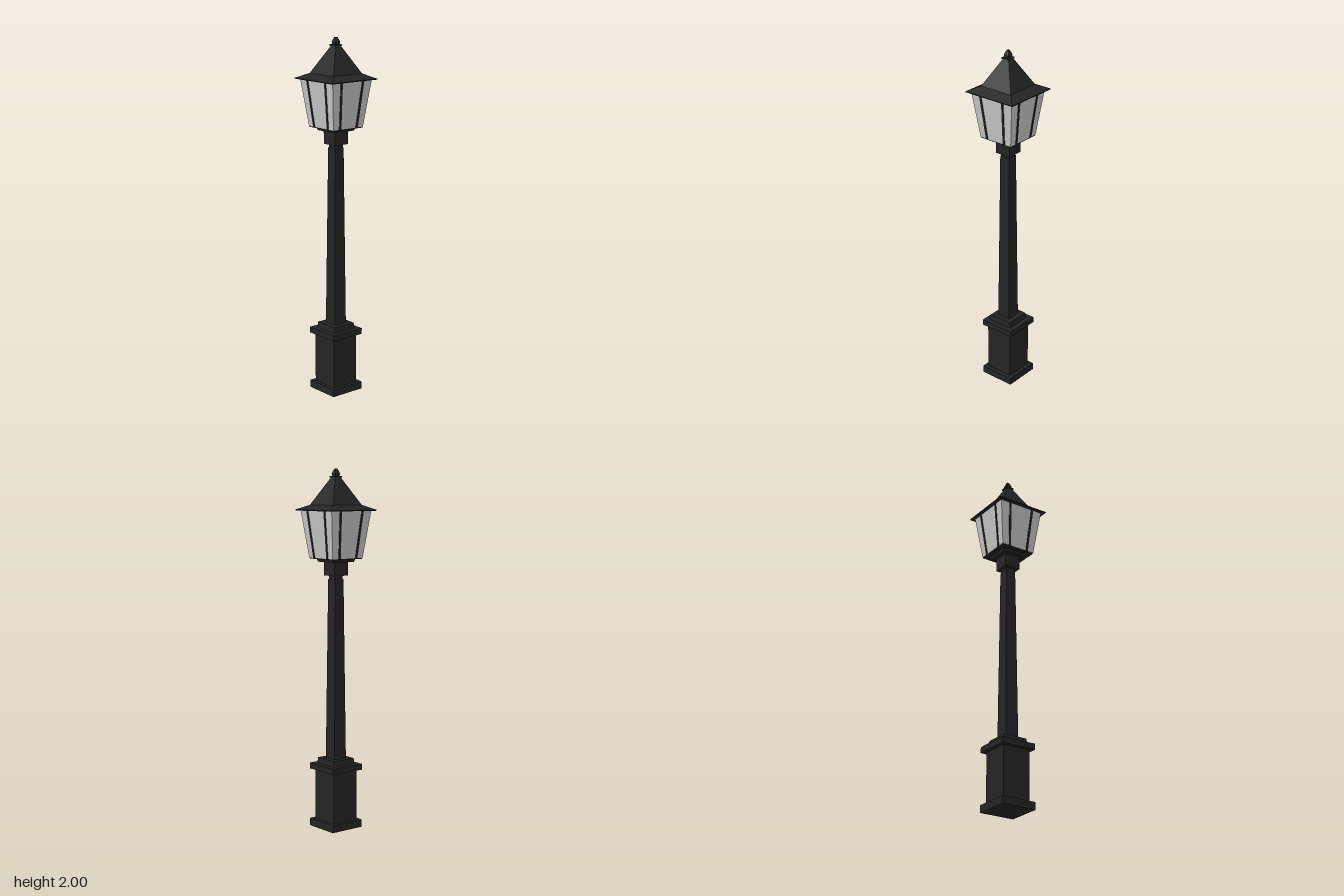
import * as THREE from 'three';

export function createModel() {
  const model = new THREE.Group();
  model.name = 'streetLamp';

  const iron = new THREE.MeshStandardMaterial({ color: 0x242424, flatShading: true });
  iron.name = 'black iron';
  const glass = new THREE.MeshStandardMaterial({ color: 0xc8c8c8, flatShading: true });
  glass.name = 'frosted glass';

  // Square tapered block from half-width h0 at y0 to h1 at y1
  function block(name, y0, y1, h0, h1 = h0, material = iron, parent = model) {
    const geo = new THREE.CylinderGeometry(h1 * Math.SQRT2, h0 * Math.SQRT2, y1 - y0, 4);
    geo.rotateY(Math.PI / 4);
    const mesh = new THREE.Mesh(geo, material);
    mesh.position.y = (y0 + y1) / 2;
    mesh.name = name;
    parent.add(mesh);
    return mesh;
  }

  // Pedestal
  block('plinth', 0, 0.042, 0.104);
  block('pedestal', 0.042, 0.33, 0.082);
  block('pedestalCap', 0.33, 0.363, 0.104);
  block('capStep', 0.363, 0.395, 0.074, 0.071);

  // Post
  block('post', 0.395, 1.4, 0.04, 0.03);
  block('postNeck', 1.4, 1.42, 0.027);
  block('collar', 1.42, 1.495, 0.047);
  block('lanternPlate', 1.495, 1.512, 0.07, 0.076);
  block('lanternFloor', 1.512, 1.517, 0.102);

  // Lantern panes
  const glassBottom = 1.517, glassTop = 1.78;
  block('lanternGlass', glassBottom, glassTop, 0.104, 0.138, glass);

  // Two leaning glazing bars on each face
  const up = new THREE.Vector3(0, 1, 0);
  for (let side = 0; side < 4; side++) {
    const bars = new THREE.Group();
    bars.name = 'glazingBars';
    bars.rotation.y = side * Math.PI / 2;
    for (const s of [-1, 1]) {
      const a = new THREE.Vector3(s * 0.058, glassBottom, 0.104);
      const b = new THREE.Vector3(s * 0.076, glassTop, 0.138);
      const bar = new THREE.Mesh(new THREE.BoxGeometry(0.013, a.distanceTo(b), 0.007), iron);
      bar.name = 'glazingBar';
      bar.position.copy(a).add(b).multiplyScalar(0.5);
      bar.quaternion.setFromUnitVectors(up, b.clone().sub(a).normalize());
      bars.add(bar);
    }
    model.add(bars);
  }

  // Roof: shallow eave, then a steep pyramid
  block('eaveEdge', 1.774, 1.779, 0.158);
  block('eave', 1.779, 1.806, 0.158, 0.1);
  block('roof', 1.806, 1.955, 0.1, 0.018);

  // Finial
  block('finialFlange', 1.953, 1.961, 0.024);
  block('finialBase', 1.961, 1.976, 0.014, 0.016);
  block('finialTip', 1.976, 2, 0.016, 0.006);

  return model;
}
